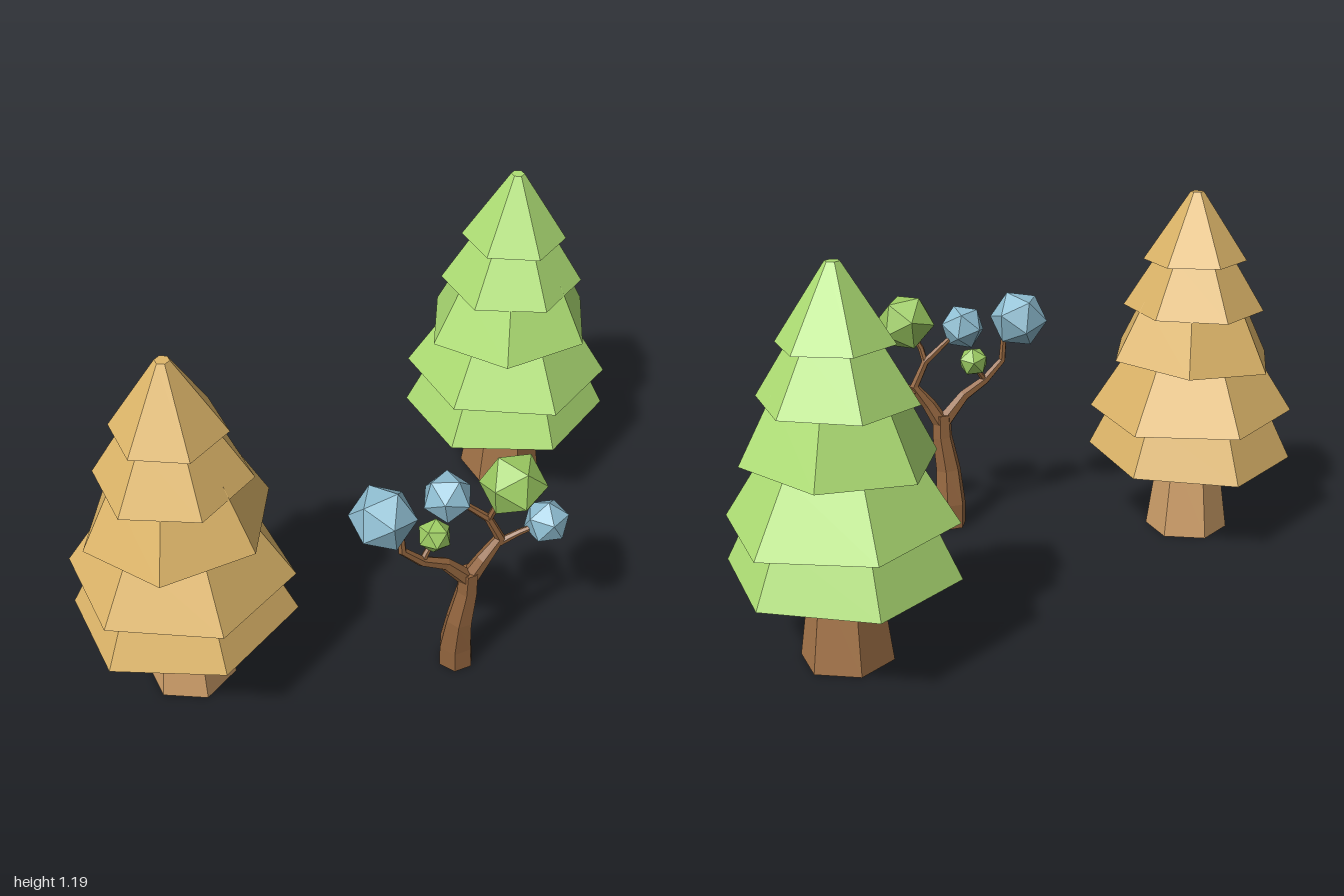
import * as THREE from 'three';

const mat = (color) => new THREE.MeshStandardMaterial({ color, flatShading: true, side: THREE.DoubleSide });
const TAN = mat(0xdeb66a), GREEN = mat(0xaede74), LEAF = mat(0x9ccb62), BLUE = mat(0x90bfd3);
const PALE_BARK = mat(0xd0a06a), BARK = mat(0xa6764a), DARK_BARK = mat(0x94663f);

function add(parent, name, geometry, material) {
  const mesh = new THREE.Mesh(geometry, material);
  mesh.name = name;
  parent.add(mesh);
  return mesh;
}

// Six-sided ring surface from [radius, y] pairs, rotated and sheared so that its rim slopes
function hexRing(profile, turn = 0, slopeX = 0, slopeZ = 0) {
  const geo = new THREE.LatheGeometry(profile.map(([r, y]) => new THREE.Vector2(r, y)), 6);
  geo.rotateY(turn);
  const p = geo.attributes.position;
  for (let i = 0; i < p.count; i++) p.setY(i, p.getY(i) + slopeX * p.getX(i) + slopeZ * p.getZ(i));
  return geo;
}

// Tiers from the top down: rim radius, rim height, top radius, top height, turn, slopes
const TIERS = [
  { r: 0.172, y: 0.955, rt: 0.022, yt: 1.185, turn: 0, sx: 0, sz: -0.02 },
  { r: 0.235, y: 0.79, rt: 0.125, yt: 0.97, turn: 0, sx: 0.02, sz: 0 },
  { r: 0.288, y: 0.62, rt: 0.185, yt: 0.82, turn: Math.PI / 6, sx: 0.05, sz: 0.02 },
  { r: 0.342, y: 0.435, rt: 0.215, yt: 0.635, turn: 0, sx: -0.03, sz: 0.02 },
  { r: 0.345, y: 0.28, rt: 0.26, yt: 0.455, turn: 0, sx: 0.015, sz: 0.045 },
];

function conifer(name, foliage, bark, x, z) {
  const tree = new THREE.Group();
  tree.name = name;
  add(tree, 'trunk', hexRing([[0, 0], [0.14, 0], [0.1, 0.29], [0.08, 0.45]]), bark);
  TIERS.forEach((t, i) => {
    const tier = new THREE.Group();
    tier.name = `foliageTier${i + 1}`;
    const last = i === TIERS.length - 1;
    const place = [t.turn, t.sx, t.sz];
    add(tier, 'slope', hexRing([[t.r, t.y], [t.rt, t.yt], [0, t.yt]], ...place), foliage);
    // The lowest tier is hollow around the trunk
    const under = last ? [[0.2, 0.42], [0.24, t.y + 0.01], [t.r, t.y]] : [[0, t.y], [t.r, t.y]];
    add(tier, 'underside', hexRing(under, ...place), last ? GREEN : foliage);
    tree.add(tier);
  });
  tree.position.set(x, 0, z);
  return tree;
}

// Tapered limb through [x, y, z, radius] stations
function limb(stations, sides = 6) {
  const pts = stations.map((s) => new THREE.Vector3(s[0], s[1], s[2]));
  const pos = [], index = [], last = pts.length - 1;
  pts.forEach((p, i) => {
    const dir = i === 0 ? new THREE.Vector3(0, 1, 0).lerp(pts[1].clone().sub(p).normalize(), stations[0][1] > 0 ? 1 : 0)
      : pts[Math.min(i + 1, last)].clone().sub(pts[i - 1]);
    const u = new THREE.Vector3(0, 0, 1).cross(dir).normalize();
    const v = dir.normalize().clone().cross(u);
    for (let k = 0; k < sides; k++) {
      const a = (k / sides) * Math.PI * 2;
      const q = p.clone().addScaledVector(u, Math.cos(a) * stations[i][3]).addScaledVector(v, Math.sin(a) * stations[i][3]);
      pos.push(q.x, q.y, q.z);
      if (i < last) {
        const b = i * sides + k, c = i * sides + ((k + 1) % sides);
        index.push(b, c, b + sides, c, c + sides, b + sides);
      }
    }
  });
  // End caps
  for (let k = 1; k < sides - 1; k++) {
    const e = last * sides;
    index.push(0, k + 1, k, e, e + k, e + k + 1);
  }
  const geo = new THREE.BufferGeometry();
  geo.setAttribute('position', new THREE.Float32BufferAttribute(pos, 3));
  geo.setIndex(index);
  geo.computeVertexNormals();
  return geo;
}

function branchingTree() {
  const tree = new THREE.Group();
  tree.name = 'branchingTree';
  const limbs = {
    trunk: [[0.08, 0, 0.495, 0.058], [0.075, 0.08, 0.498, 0.055], [0.075, 0.2, 0.515, 0.044], [0.092, 0.32, 0.523, 0.035], [0.092, 0.4, 0.527, 0.032]],
    leftBranch: [[0.09, 0.37, 0.525, 0.028], [0.01, 0.46, 0.525, 0.02], [-0.07, 0.505, 0.53, 0.016], [-0.135, 0.57, 0.53, 0.013], [-0.14, 0.64, 0.528, 0.011], [-0.18, 0.7, 0.525, 0.009]],
    leftTwig: [[-0.07, 0.505, 0.53, 0.011], [-0.045, 0.54, 0.523, 0.009], [-0.025, 0.58, 0.52, 0.008]],
    rightBranch: [[0.095, 0.37, 0.525, 0.029], [0.135, 0.44, 0.535, 0.024], [0.185, 0.51, 0.54, 0.017], [0.145, 0.595, 0.535, 0.013], [0.07, 0.665, 0.52, 0.01], [0.02, 0.7, 0.515, 0.008]],
    upperTwig: [[0.145, 0.59, 0.535, 0.011], [0.155, 0.64, 0.55, 0.01], [0.195, 0.72, 0.57, 0.008]],
    outerTwig: [[0.18, 0.49, 0.54, 0.013], [0.24, 0.525, 0.56, 0.01], [0.31, 0.55, 0.578, 0.008]],
  };
  for (const [name, stations] of Object.entries(limbs)) add(tree, name, limb(stations), DARK_BARK);

  // Leaf clusters: x, y, z, radius, material
  const clusters = [
    [-0.195, 0.715, 0.523, 0.1, BLUE],
    [0.015, 0.71, 0.515, 0.077, BLUE],
    [0.2, 0.732, 0.57, 0.1, LEAF],
    [0.32, 0.552, 0.576, 0.071, BLUE],
    [-0.025, 0.58, 0.52, 0.053, LEAF],
  ];
  clusters.forEach(([x, y, z, r, material], i) => {
    const ball = add(tree, `leafCluster${i + 1}`, new THREE.IcosahedronGeometry(r, 0), material);
    ball.position.set(x, y, z);
    ball.rotation.set(0.25 + i * 0.4, i * 0.7, 0.2);
  });
  return tree;
}

export function createModel() {
  const model = new THREE.Group();
  model.name = 'treeGroup';
  model.add(
    conifer('autumnConifer', TAN, PALE_BARK, -0.688, 0.174),
    conifer('greenConifer', GREEN, BARK, 0.696, -0.32),
    branchingTree(),
  );
  return model;
}
